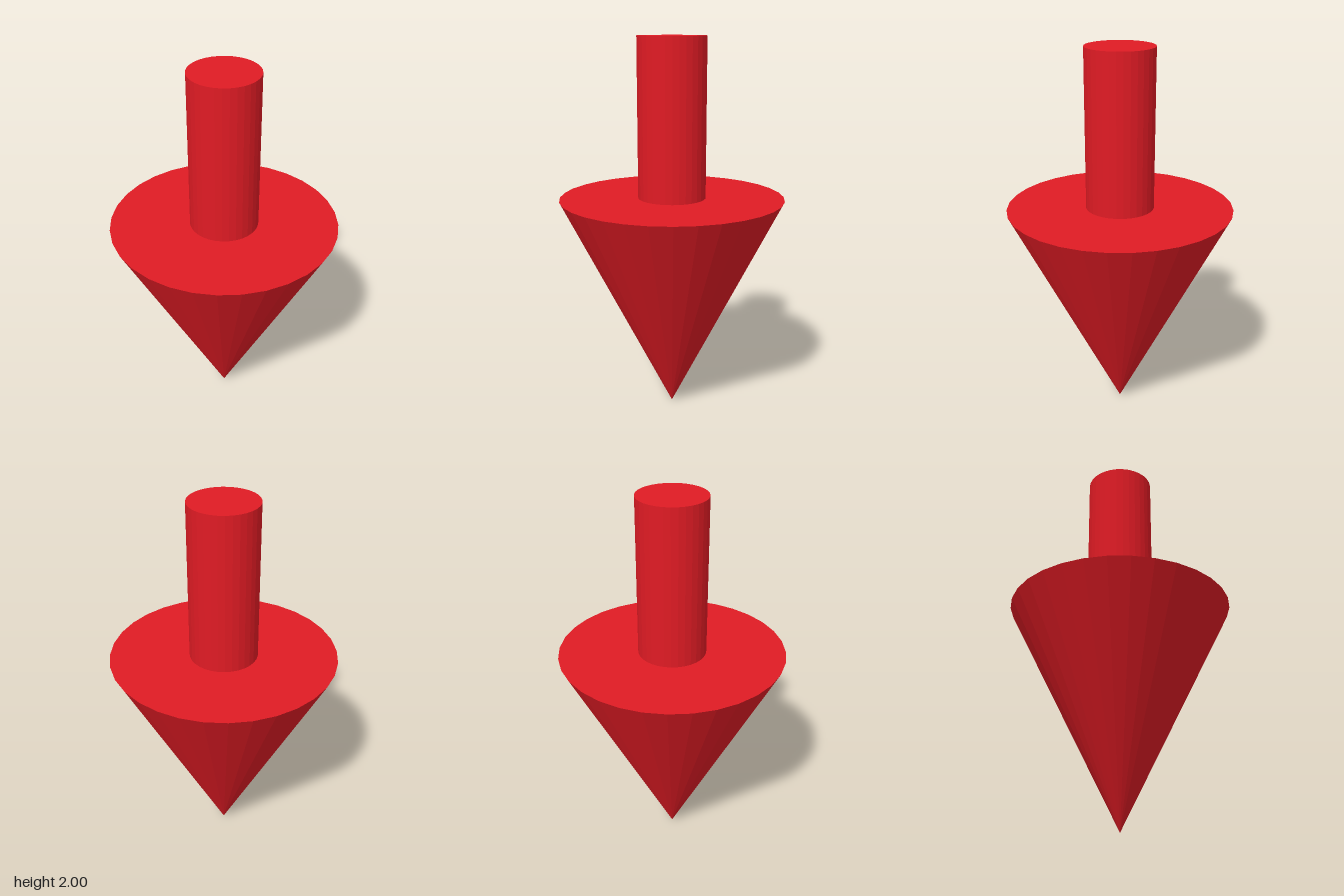
import * as THREE from 'three';

export function createModel() {
  const model = new THREE.Group();
  model.name = 'downArrow';
  const red = new THREE.MeshStandardMaterial({ color: 0xe01b24, flatShading: true });

  const SIDES = 32;
  const HEAD_HEIGHT = 1.176;
  const SHAFT_HEIGHT = 2 - HEAD_HEIGHT;

  const add = (name, geometry, y) => {
    const mesh = new THREE.Mesh(geometry, red);
    mesh.name = name;
    mesh.position.y = y;
    model.add(mesh);
  };

  // Arrowhead: cone with its tip on the ground and a flat cap on top
  const head = new THREE.ConeGeometry(0.588, HEAD_HEIGHT, SIDES).rotateX(Math.PI);
  add('arrowHead', head, HEAD_HEIGHT / 2);

  // Shaft: round bar standing on the cap
  const shaft = new THREE.CylinderGeometry(0.177, 0.177, SHAFT_HEIGHT, SIDES);
  add('shaft', shaft, HEAD_HEIGHT + SHAFT_HEIGHT / 2);

  return model;
}
